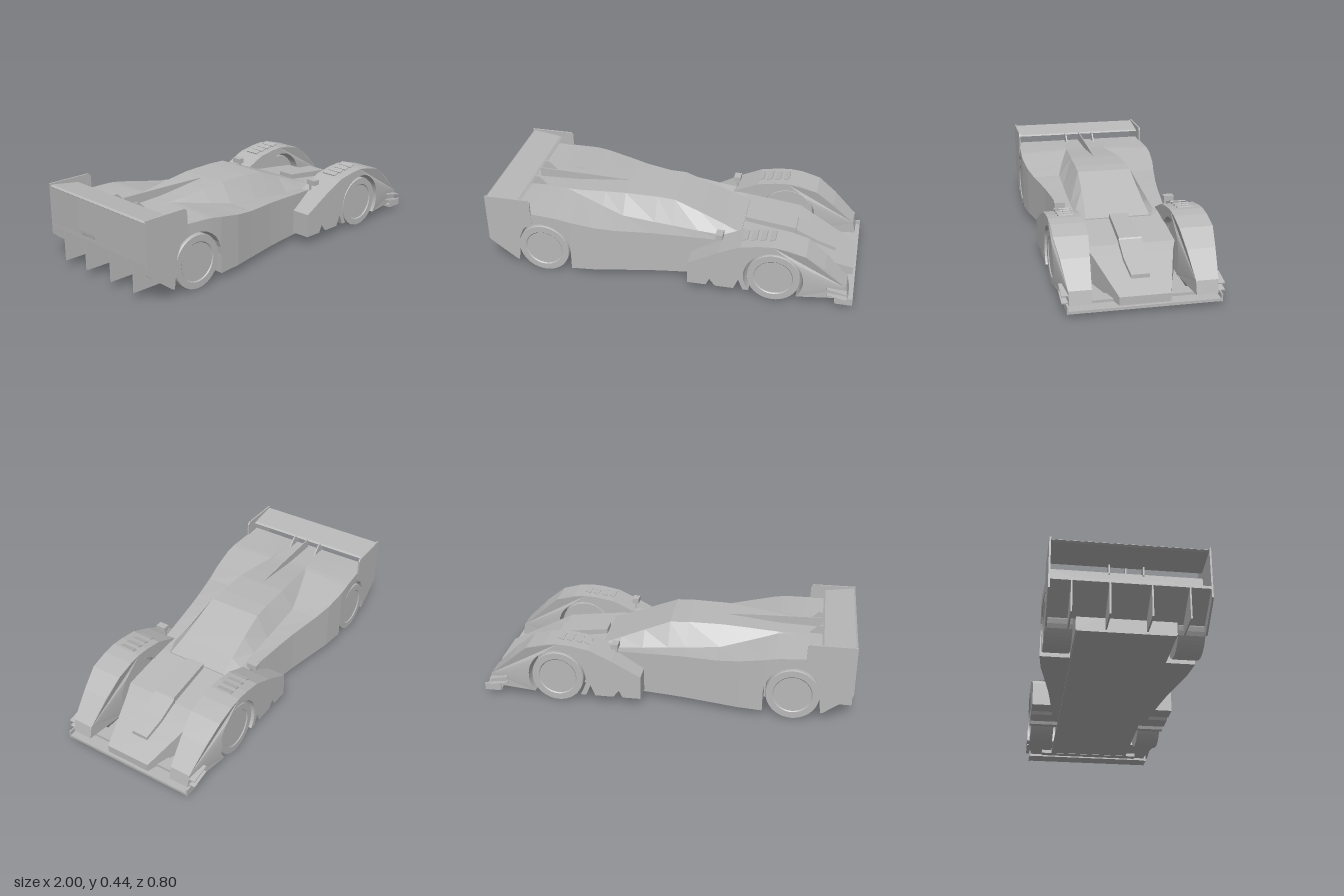
import * as THREE from 'three';

export function createModel() {
  const car = new THREE.Group();
  car.name = 'raceCar';
  const grey = new THREE.MeshStandardMaterial({ color: 0xb8b8b8, flatShading: true, side: THREE.DoubleSide });
  grey.name = 'bodyGrey';

  const add = (name, geometry, x = 0, y = 0, z = 0) => {
    const mesh = new THREE.Mesh(geometry, grey);
    mesh.name = name;
    mesh.position.set(x, y, z);
    car.add(mesh);
    return mesh;
  };
  const box = (name, x0, x1, y0, y1, z0, z1) =>
    add(name, new THREE.BoxGeometry(x1 - x0, y1 - y0, z1 - z0), (x0 + x1) / 2, (y0 + y1) / 2, (z0 + z1) / 2);

  // Skin between cross-sections; each is { x, half: [[z, y], ...] } from the bottom up, mirrored in z
  const loft = (name, sections) => {
    const rings = sections.map(({ x, half }) => [
      ...half.map(([z, y]) => [x, y, z]),
      ...half.slice().reverse().map(([z, y]) => [x, y, -z]),
    ]);
    const n = rings[0].length, pos = rings.flat(2), index = [];
    for (let i = 0; i < rings.length - 1; i++) {
      for (let j = 0; j < n; j++) {
        const a = i * n + j, b = i * n + (j + 1) % n;
        index.push(a, a + n, b, b, a + n, b + n);
      }
    }
    // End caps as strips across the mirrored pairs
    const last = (rings.length - 1) * n;
    for (let j = 0; j < n / 2 - 1; j++) {
      const a = j, b = j + 1, c = n - 2 - j, d = n - 1 - j;
      index.push(a, b, c, a, c, d);
      index.push(last + a, last + c, last + b, last + a, last + d, last + c);
    }
    const g = new THREE.BufferGeometry();
    g.setAttribute('position', new THREE.Float32BufferAttribute(pos, 3));
    g.setIndex(index);
    g.computeVertexNormals();
    return add(name, g);
  };

  // Side outline extruded across z
  const plate = (points, z0, z1) => {
    const shape = points instanceof THREE.Shape ? points : new THREE.Shape(points.map(p => new THREE.Vector2(...p)));
    return new THREE.ExtrudeGeometry(shape, { depth: z1 - z0, bevelEnabled: false, curveSegments: 24 }).translate(0, 0, z0);
  };

  // Main body: x, shoulder z/y, canopy base z/y, roof edge z/y
  const stations = [
    [-0.84, 0.383, 0.36, 0.20, 0.36, 0.09, 0.36],
    [-0.60, 0.396, 0.352, 0.118, 0.365, 0.112, 0.368],
    [-0.53, 0.397, 0.34, 0.14, 0.35, 0.12, 0.375],
    [-0.40, 0.384, 0.315, 0.18, 0.325, 0.13, 0.39],
    [-0.28, 0.36, 0.297, 0.212, 0.30, 0.14, 0.402],
    [-0.10, 0.325, 0.287, 0.215, 0.285, 0.145, 0.405],
    [0.00, 0.31, 0.28, 0.216, 0.277, 0.148, 0.40],
    [0.14, 0.292, 0.27, 0.216, 0.264, 0.154, 0.345],
    [0.27, 0.275, 0.262, 0.214, 0.254, 0.162, 0.293],
    [0.37, 0.23, 0.25, 0.18, 0.25, 0.172, 0.255],
  ];
  const section = (x, bottom) => {
    let i = 0;
    while (i < stations.length - 2 && x > stations[i + 1][0]) i++;
    const a = stations[i], b = stations[i + 1], t = (x - a[0]) / (b[0] - a[0]);
    const [, zs, ys, zc, yc, zr, yr] = a.map((v, k) => v + (b[k] - v) * t);
    return { x, half: [[zs, bottom], [zs, ys], [zc, yc], [zr, yr]] };
  };
  const rearX = -0.685, frontX = 0.578, hubY = 0.145, archR = 0.155;
  const bodySections = [];
  for (let k = 0; k <= 14; k++) {
    const a = Math.PI * (1 - k / 14);
    bodySections.push(section(rearX + archR * Math.cos(a), hubY + archR * Math.sin(a)));
  }
  stations.filter(s => s[0] >= -0.53).forEach(s => bodySections.push(section(s[0], 0.038)));
  loft('bodyAndCanopy', bodySections);
  box('rearTub', -0.84, -0.5, 0.038, 0.33, -0.245, 0.245);

  // Nose and the raised strip on it
  const slab = (x, z, y, low) => ({ x, half: [[z, low], [z, y]] });
  loft('nose', [
    slab(0.37, 0.232, 0.25, 0.038), slab(0.655, 0.23, 0.214, 0.038), slab(0.72, 0.205, 0.19, 0.038),
    slab(0.82, 0.175, 0.148, 0.038), slab(0.985, 0.126, 0.08, 0.038),
  ]);
  loft('noseDuct', [
    slab(0.375, 0.048, 0.276, 0.2), slab(0.655, 0.057, 0.247, 0.2), slab(0.66, 0.06, 0.24, 0.17),
    slab(0.77, 0.06, 0.19, 0.12), slab(0.88, 0.046, 0.143, 0.1),
  ]);

  // Front fender outline with the wheel arch
  const fender = new THREE.Shape();
  [[0.12, 0.05], [0.12, 0.18], [0.28, 0.267], [0.4, 0.322], [0.5, 0.34], [0.57, 0.345], [0.64, 0.338], [0.74, 0.31],
    [0.84, 0.235], [0.96, 0.12], [0.975, 0.053], [0.704, 0.05]]
    .forEach(([x, y], i) => (i ? fender.lineTo(x, y) : fender.moveTo(x, y)));
  const cut = 0.646;
  fender.absarc(frontX, hubY, 0.158, -cut, Math.PI + cut, false);
  [[0.42, 0.05], [0.395, 0.11], [0.37, 0.05], [0.27, 0.05], [0.24, 0.09], [0.22, 0.05]].forEach(p => fender.lineTo(...p));

  // Wheel section turned about its axle, with a shallow rim recess
  const wheelProfile = [[0, -0.067], [0.14, -0.067], [0.143, -0.06], [0.143, 0.06], [0.14, 0.067], [0.105, 0.067], [0.1, 0.062], [0, 0.062]]
    .map(p => new THREE.Vector2(...p));

  for (const side of [1, -1]) {
    const tag = side > 0 ? 'left' : 'right';
    const sideBox = (name, x0, x1, y0, y1, z0, z1) =>
      box(tag + name, x0, x1, y0, y1, Math.min(side * z0, side * z1), Math.max(side * z0, side * z1));
    const sidePlate = (name, pts, z0, z1) =>
      add(tag + name, plate(pts, Math.min(side * z0, side * z1), Math.max(side * z0, side * z1)));

    // Fender narrows towards its tip
    const g = sidePlate('FrontFender', fender, 0.228, 0.4).geometry;
    const p = g.attributes.position;
    for (let i = 0; i < p.count; i++) {
      const t = Math.max(0, (p.getX(i) - 0.74) / 0.22);
      const z = Math.abs(p.getZ(i));
      p.setZ(i, side * (z > 0.3 ? z - 0.035 * t : z + 0.025 * t));
    }
    g.computeVertexNormals();

    for (const [name, x] of [['FrontWheel', frontX], ['RearWheel', rearX]]) {
      const wheel = add(tag + name, new THREE.LatheGeometry(wheelProfile, 40), x, 0.143, side * 0.323);
      wheel.rotation.x = side * Math.PI / 2;
    }

    // Fender louvres
    for (let i = 0; i < 4; i++) {
      const x = 0.415 + i * 0.048;
      const slat = sideBox('Louvre' + i, x - 0.016, x + 0.016, 0, 0.006, 0.265, 0.35);
      slat.position.y = 0.337 + i * 0.006;
      slat.rotation.z = 0.35;
    }

    // Dive planes
    for (const y of [0.108, 0.072]) {
      const vane = sideBox('DivePlane', 0.86, 0.965, y - 0.003, y + 0.003, 0.355, 0.398);
      vane.rotation.z = -0.2;
    }

    // Mirror
    sideBox('Mirror', 0.255, 0.293, 0.298, 0.326, 0.27, 0.325);
    sideBox('MirrorStalk', 0.268, 0.28, 0.255, 0.3, 0.275, 0.285);

    // Wing end plate, wing mount and splitter end
    sidePlate('WingEndPlate', [[-1, 0.44], [-0.76, 0.44], [-0.747, 0.425], [-0.745, 0.30], [-0.79, 0.265], [-0.815, 0.21],
      [-0.835, 0.045], [-0.85, 0.05], [-0.97, 0.14], [-1, 0.165]], 0.381, 0.39);
    sidePlate('WingMount', [[-0.85, 0.35], [-0.74, 0.35], [-0.8, 0.408], [-0.85, 0.408]], 0.081, 0.089);
    sideBox('SplitterEnd', 0.91, 1, 0.02, 0.06, 0.37, 0.378);

    // Diffuser fins
    for (const z of [0.1, 0.28]) {
      sidePlate('DiffuserFin', [[-0.83, 0.045], [-0.83, 0.12], [-1, 0.22], [-1, 0.045]], z - 0.004, z + 0.004);
    }
  }

  // Rear wing, diffuser, centre fin and splitter
  add('rearWing', plate([[-1, 0.425], [-0.99, 0.433], [-0.83, 0.41], [-0.82, 0.402], [-0.84, 0.398], [-0.99, 0.418]], -0.383, 0.383));
  add('diffuser', plate([[-0.83, 0.1], [-0.83, 0.115], [-1, 0.225], [-1, 0.21]], -0.381, 0.381));
  add('centreFin', plate([[-0.82, 0.35], [-0.31, 0.39], [-0.31, 0.402], [-0.5, 0.408], [-0.82, 0.414]], -0.003, 0.003));
  box('frontSplitter', 0.905, 1, 0.022, 0.036, -0.372, 0.372);
  box('splitterMount', 0.86, 0.93, 0.03, 0.05, -0.3, 0.3);
  box('floor', -0.84, 0.92, 0.032, 0.04, -0.24, 0.24);
  return car;
}
